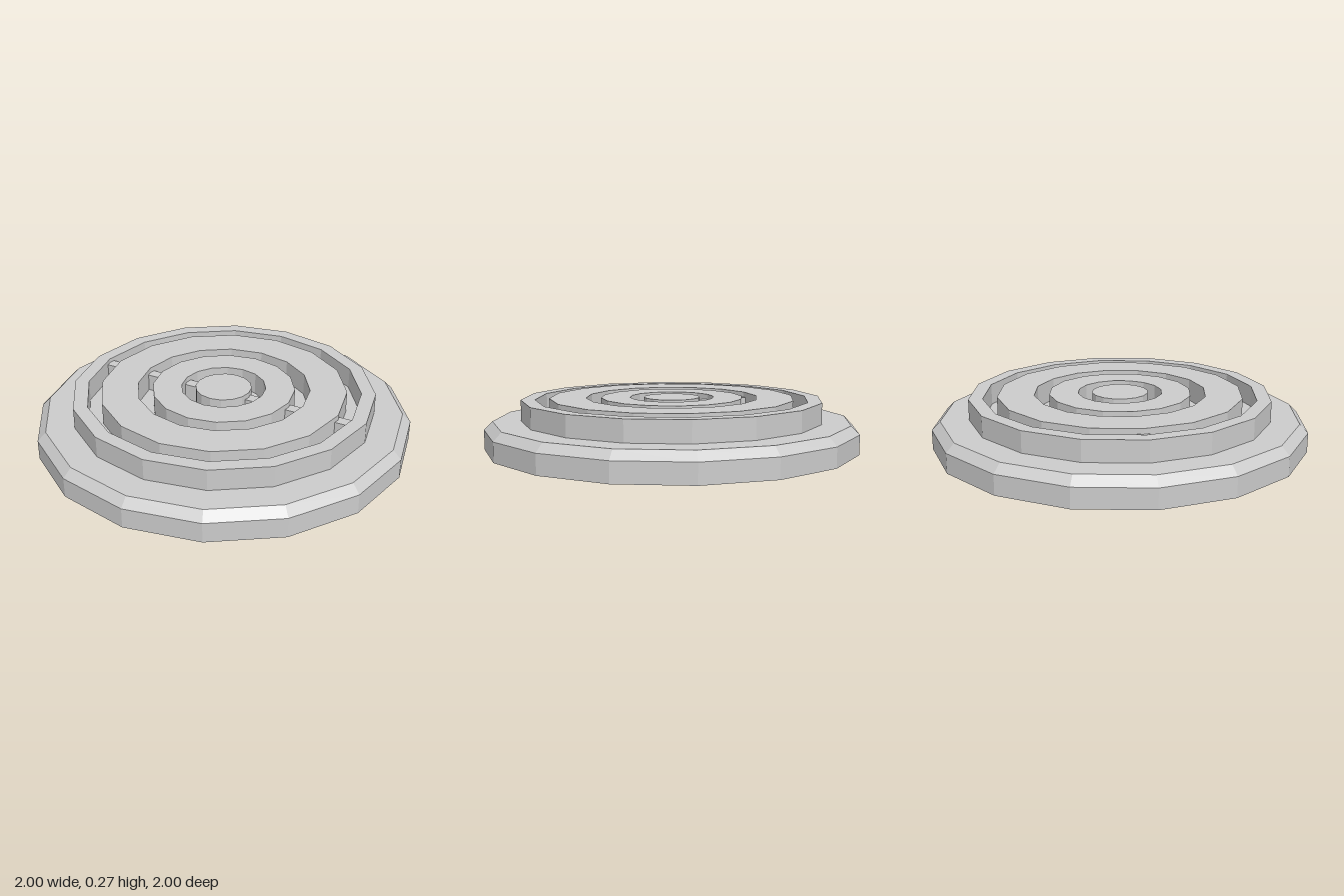
import * as THREE from 'three';

const SIDES = 16;
const FLOOR = 0.15;

export function createModel() {
  const model = new THREE.Group();
  const material = new THREE.MeshStandardMaterial({ color: 0xcccccc, flatShading: true });

  const add = (name, geometry) => {
    const mesh = new THREE.Mesh(geometry, material);
    mesh.name = name;
    model.add(mesh);
    return mesh;
  };

  // Profiles run from the bottom, up the outside, then inwards
  const lathe = (name, profile) =>
    add(name, new THREE.LatheGeometry(profile.map(([r, y]) => new THREE.Vector2(r, y)), SIDES));

  const ring = (name, inner, outer, top) =>
    lathe(name, [[outer, FLOOR], [outer, top], [inner, top], [inner, FLOOR]]);

  // Wide bevelled plinth
  lathe('base', [[0, 0], [1, 0], [1, 0.105], [0.955, FLOOR], [0, FLOOR]]);

  // Raised concentric rings separated by grooves
  ring('outerRim', 0.73, 0.805, 0.262);
  ring('wideRing', 0.46, 0.655, 0.268);
  ring('innerRing', 0.225, 0.38, 0.268);
  lathe('centreDisc', [[0.15, FLOOR], [0.15, 0.268], [0, 0.268]]);

  // Low bridges crossing each groove on both sides
  const grooves = [[0.15, 0.225], [0.38, 0.46], [0.655, 0.73]];
  for (const [inner, outer] of grooves) {
    for (const side of [1, -1]) {
      const bridge = add('grooveBridge', new THREE.BoxGeometry(outer - inner + 0.02, 0.09, 0.06));
      bridge.position.set((side * (inner + outer)) / 2, FLOOR + 0.045, 0);
    }
  }

  return model;
}
